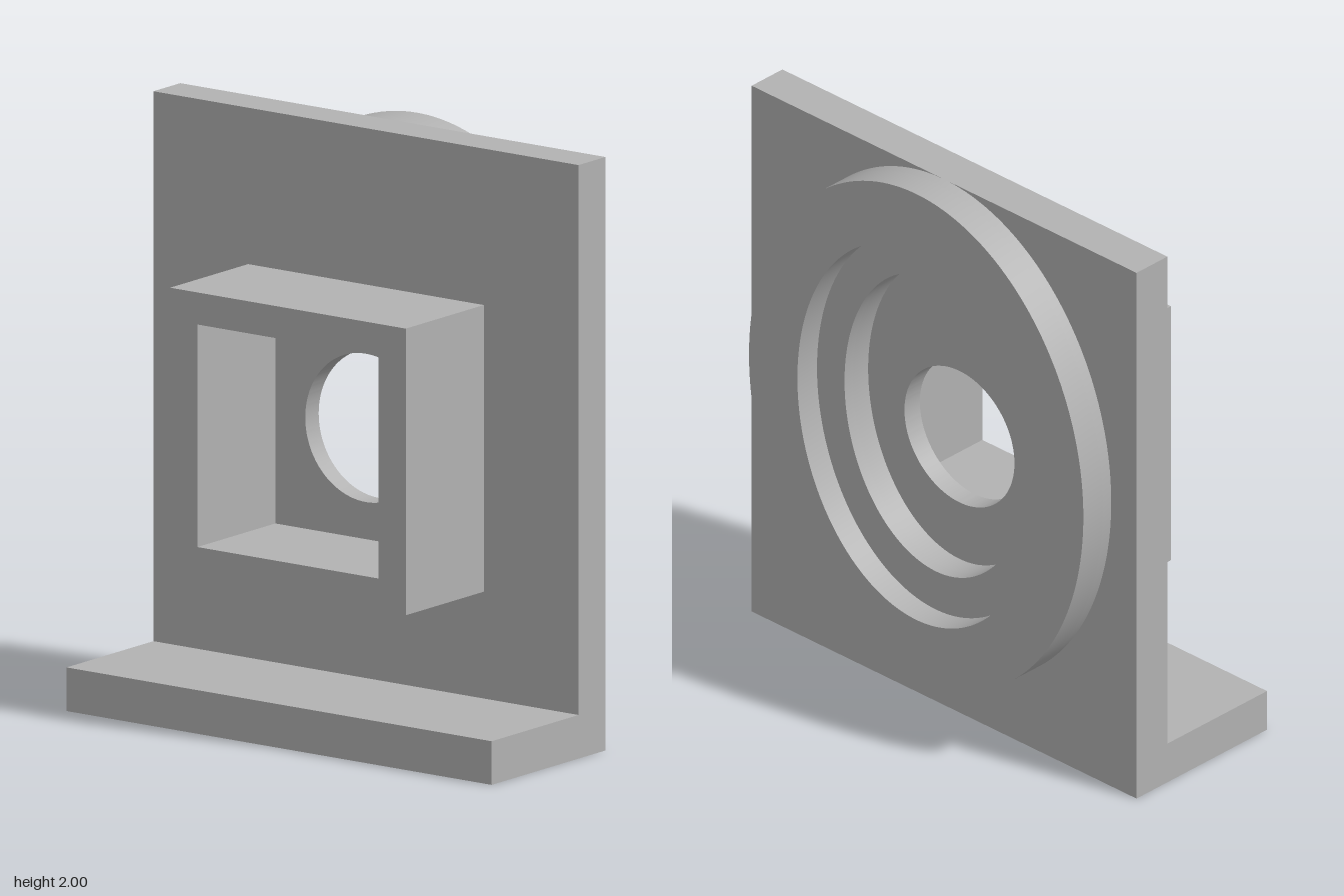
import * as THREE from 'three';
import { toCreasedNormals } from 'three/addons/utils/BufferGeometryUtils.js';

const PLATE = { w: 1.75, back: -0.243, floor: -0.17, front: -0.097 };
const RECESS_Y = 1.08; // centre of the oval rim and recess
const BORE_Y = 0.99;   // centre of the round bore and square duct

const rect = (x, y0, y1, Type = THREE.Shape) => new Type([
  new THREE.Vector2(-x, y0), new THREE.Vector2(x, y0),
  new THREE.Vector2(x, y1), new THREE.Vector2(-x, y1),
]);

function oval(rx, ry, y, Type = THREE.Path) {
  const path = new Type();
  path.absellipse(0, y, rx, ry, 0, Math.PI * 2, false, 0);
  return path;
}

export function createModel() {
  const group = new THREE.Group();
  const grey = new THREE.MeshStandardMaterial({ color: 0xb2b2b2 });
  grey.name = 'plain grey';

  // Extrude an outline with one hole between two depths
  function slab(name, outline, hole, z0, z1) {
    outline.holes.push(hole);
    const geometry = new THREE.ExtrudeGeometry(outline, {
      depth: z1 - z0, bevelEnabled: false, curveSegments: 96,
    });
    geometry.translate(0, 0, z0);
    const mesh = new THREE.Mesh(toCreasedNormals(geometry, 0.5), grey);
    mesh.name = name;
    group.add(mesh);
  }

  // Upright plate: oval pocket behind, round bore through the front
  const half = PLATE.w / 2;
  slab('plateBack', rect(half, 0, 2), oval(0.415, 0.555, RECESS_Y), PLATE.back, PLATE.floor);
  slab('plateFront', rect(half, 0, 2), oval(0.25, 0.25, BORE_Y), PLATE.floor, PLATE.front);

  // Stepped oval rim on the back
  slab('rimStep', oval(0.76, 0.92, RECESS_Y, THREE.Shape),
    oval(0.415, 0.555, RECESS_Y), -0.282, PLATE.back);
  slab('rimOuter', oval(0.76, 0.92, RECESS_Y, THREE.Shape),
    oval(0.54, 0.70, RECESS_Y), -0.375, -0.282);

  // Square duct on the front
  slab('squareDuct', rect(0.485, BORE_Y - 0.483, BORE_Y + 0.483),
    rect(0.373, BORE_Y - 0.375, BORE_Y + 0.375, THREE.Path), PLATE.front, 0.327);

  // Foot
  const depth = 0.375 - PLATE.front;
  const foot = new THREE.Mesh(new THREE.BoxGeometry(PLATE.w, 0.147, depth), grey);
  foot.name = 'foot';
  foot.position.set(0, 0.0735, PLATE.front + depth / 2);
  group.add(foot);

  return group;
}
